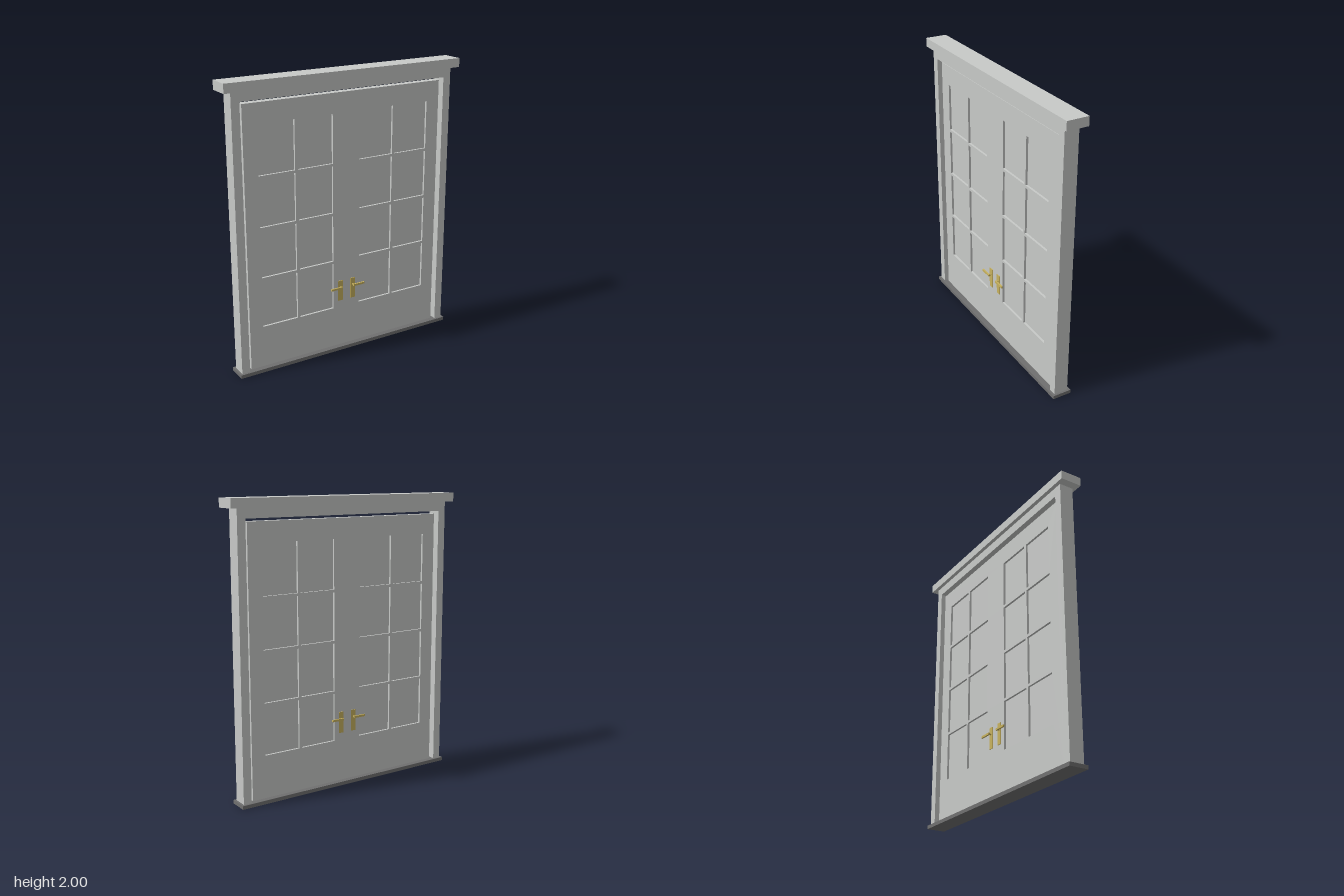
import * as THREE from 'three';

const paint = new THREE.MeshStandardMaterial({ color: 0xc8cac8 });
paint.name = 'pale grey paint';
const stone = new THREE.MeshStandardMaterial({ color: 0x707070 });
stone.name = 'dark grey sill';
const brass = new THREE.MeshStandardMaterial({ color: 0xc8b25e });
brass.name = 'brass';

// Box given by its lower and upper limits on each axis
function box(parent, name, mat, [x0, x1], [y0, y1], [z0, z1]) {
  const mesh = new THREE.Mesh(new THREE.BoxGeometry(x1 - x0, y1 - y0, z1 - z0), mat);
  mesh.position.set((x0 + x1) / 2, (y0 + y1) / 2, (z0 + z1) / 2);
  mesh.name = name;
  parent.add(mesh);
  return mesh;
}

function rect(target, x0, x1, y0, y1) {
  target.moveTo(x0, y0);
  target.lineTo(x1, y0);
  target.lineTo(x1, y1);
  target.lineTo(x0, y1);
  target.closePath();
  return target;
}

// Flat sheet of the given outline, centred on z = 0
function sheet(parent, name, shape, depth) {
  const geo = new THREE.ExtrudeGeometry(shape, { depth, bevelEnabled: false });
  geo.translate(0, 0, -depth / 2);
  const mesh = new THREE.Mesh(geo, paint);
  mesh.name = name;
  parent.add(mesh);
}

const SILL = 0.025;
const DOOR_FACE = 0.027;
const columns = [[-0.655, -0.39], [-0.37, -0.105], [0.105, 0.37], [0.39, 0.655]];
const rows = [[0.32, 0.657], [0.675, 1.008], [1.028, 1.358], [1.377, 1.715]];

// Backplate, spindle and lever on the +x leaf, front side
function addHandle(parent) {
  box(parent, 'handlePlate', brass, [0.032, 0.07], [0.37, 0.52], [DOOR_FACE - 0.002, DOOR_FACE + 0.005]);
  const spindle = new THREE.Mesh(new THREE.CylinderGeometry(0.006, 0.006, 0.02, 12), brass);
  spindle.rotation.x = Math.PI / 2;
  spindle.position.set(0.051, 0.472, 0.039);
  spindle.name = 'handleSpindle';
  parent.add(spindle);
  box(parent, 'handleLever', brass, [0.045, 0.136], [0.465, 0.479], [0.044, 0.055]);
}

export function createModel() {
  const model = new THREE.Group();
  model.name = 'doubleDoor';

  box(model, 'sill', stone, [-0.85, 0.85], [0, SILL], [-0.067, 0.067]);
  box(model, 'headMoulding', paint, [-0.89, 0.89], [1.938, 2], [-0.077, 0.077]);

  // Jambs and head in one arch-shaped frame
  const arch = new THREE.Shape([
    [-0.835, SILL], [-0.777, SILL], [-0.777, 1.873], [0.777, 1.873],
    [0.777, SILL], [0.835, SILL], [0.835, 1.938], [-0.835, 1.938],
  ].map(([x, y]) => new THREE.Vector2(x, y)));
  sheet(model, 'frame', arch, 0.1);

  // Door leaves with openings for the panes
  const leaves = rect(new THREE.Shape(), -0.755, 0.755, SILL, 1.853);
  for (const [x0, x1] of columns) {
    for (const [y0, y1] of rows) {
      leaves.holes.push(rect(new THREE.Path(), x0, x1, y0, y1));
      box(model, 'pane', paint, [x0, x1], [y0, y1], [-0.012, 0.012]);
    }
  }
  sheet(model, 'doorLeaves', leaves, 2 * DOOR_FACE);

  // Handles on both leaves, front and back
  for (const turn of [0, Math.PI]) {
    for (const side of [1, -1]) {
      const handle = new THREE.Group();
      handle.name = 'handle';
      addHandle(handle);
      if (side < 0) handle.children.forEach((part) => { part.position.x *= -1; });
      handle.rotation.y = turn;
      model.add(handle);
    }
  }
  return model;
}
